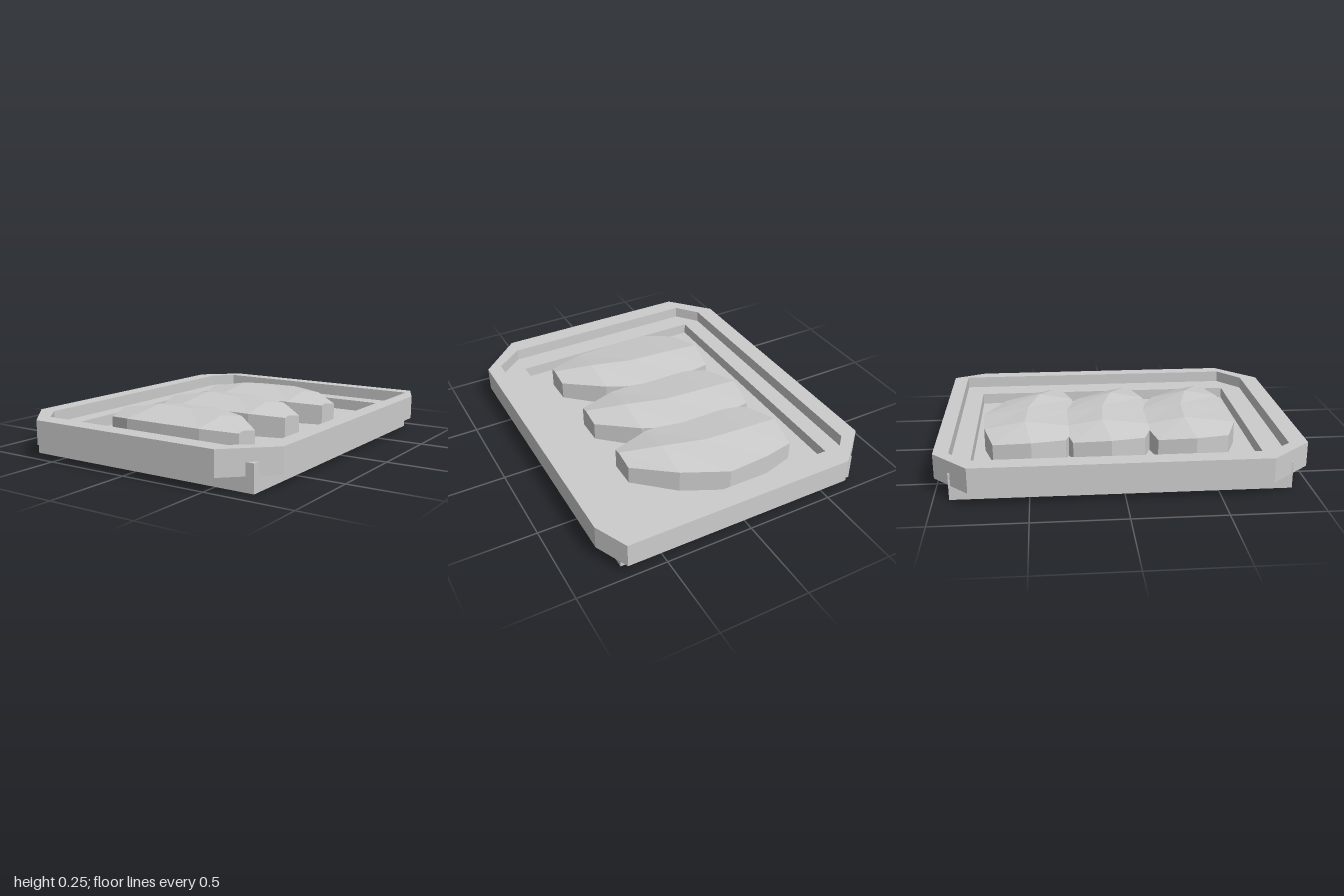
import * as THREE from 'three';

const material = new THREE.MeshStandardMaterial({ color: 0xcccccc, flatShading: true });

// Upright prism from plan outlines given as [x, z], clockwise as seen from above
function prism(name, outline, hole, y0, y1) {
  const toPoints = (list) => list.map(([x, z]) => new THREE.Vector2(x, -z)).reverse();
  const shape = new THREE.Shape(toPoints(outline));
  if (hole) shape.holes.push(new THREE.Path(toPoints(hole).reverse()));
  const geometry = new THREE.ExtrudeGeometry(shape, { depth: y1 - y0, bevelEnabled: false });
  geometry.rotateX(-Math.PI / 2).translate(0, y0, 0);
  const mesh = new THREE.Mesh(geometry, material);
  mesh.name = name;
  return mesh;
}

const rect = (x0, x1, z0, z1) => [[x0, z0], [x1, z0], [x1, z1], [x0, z1]];

// Faceted loaf: each station holds back edge, ridge and front edge as [x, y, z]
function loafGeometry(floor) {
  const stations = [
    [[-0.44, 0.19, 0.21], [-0.48, 0.21, 0.42], [-0.41, 0.195, 0.61]],
    [[-0.245, 0.212, 0.155], [-0.245, 0.25, 0.385], [-0.245, 0.212, 0.675]],
    [[-0.01, 0.212, 0.14], [-0.01, 0.25, 0.4], [-0.01, 0.213, 0.675]],
    [[0.235, 0.212, 0.26], [0.235, 0.25, 0.465], [0.235, 0.212, 0.665]],
    [[0.445, 0.19, 0.45], [0.445, 0.21, 0.568], [0.445, 0.202, 0.607]],
  ];
  const down = ([x, , z]) => [x, floor, z];
  // closed loops: back foot, back edge, ridge, front edge, front foot, ridge foot
  const loops = stations.map(([b, r, f]) => [down(b), b, r, f, down(f), down(r)]);
  const positions = [];
  const quad = (a, b, c, d) => positions.push(...a, ...b, ...c, ...a, ...c, ...d);
  for (let i = 0; i < loops.length - 1; i++) {
    for (let j = 0; j < 6; j++) {
      const k = (j + 1) % 6;
      quad(loops[i][j], loops[i][k], loops[i + 1][k], loops[i + 1][j]);
    }
  }
  // end faces, each split at the ridge
  const [s, e] = [loops[0], loops[loops.length - 1]];
  quad(s[0], s[5], s[2], s[1]);
  quad(s[5], s[4], s[3], s[2]);
  quad(e[0], e[1], e[2], e[5]);
  quad(e[5], e[2], e[3], e[4]);
  const geometry = new THREE.BufferGeometry();
  geometry.setAttribute('position', new THREE.Float32BufferAttribute(positions, 3));
  geometry.computeVertexNormals();
  return geometry;
}

export function createModel() {
  const group = new THREE.Group();
  group.name = 'trayWithLoaves';
  const floor = 0.085;

  // Base slab and the ledge around the sunken floor
  const base = rect(-0.708, 0.722, -0.916, 0.897);
  group.add(prism('base', base, null, 0, floor));
  group.add(prism('ledge', base, rect(-0.606, 0.568, -0.81, 0.77), floor, 0.15));

  // Overhanging rim with cut corners
  const outer = [[-0.606, -1], [0.72, -1], [0.806, -0.81], [0.806, 0.77],
    [0.567, 1], [-0.606, 1], [-0.81, 0.77], [-0.81, -0.81]];
  const inner = [[-0.606, -0.916], [0.722, -0.916], [0.722, 0.77],
    [0.567, 0.895], [-0.606, 0.895], [-0.708, 0.77], [-0.708, -0.81]];
  group.add(prism('rim', outer, inner, 0.08, 0.218));

  // Three overlapping loaves
  const loaf = loafGeometry(floor - 0.01);
  [0, -0.47, -0.908].forEach((z, i) => {
    const mesh = new THREE.Mesh(loaf, material);
    mesh.name = `loaf${i + 1}`;
    mesh.position.z = z;
    group.add(mesh);
  });
  return group;
}
